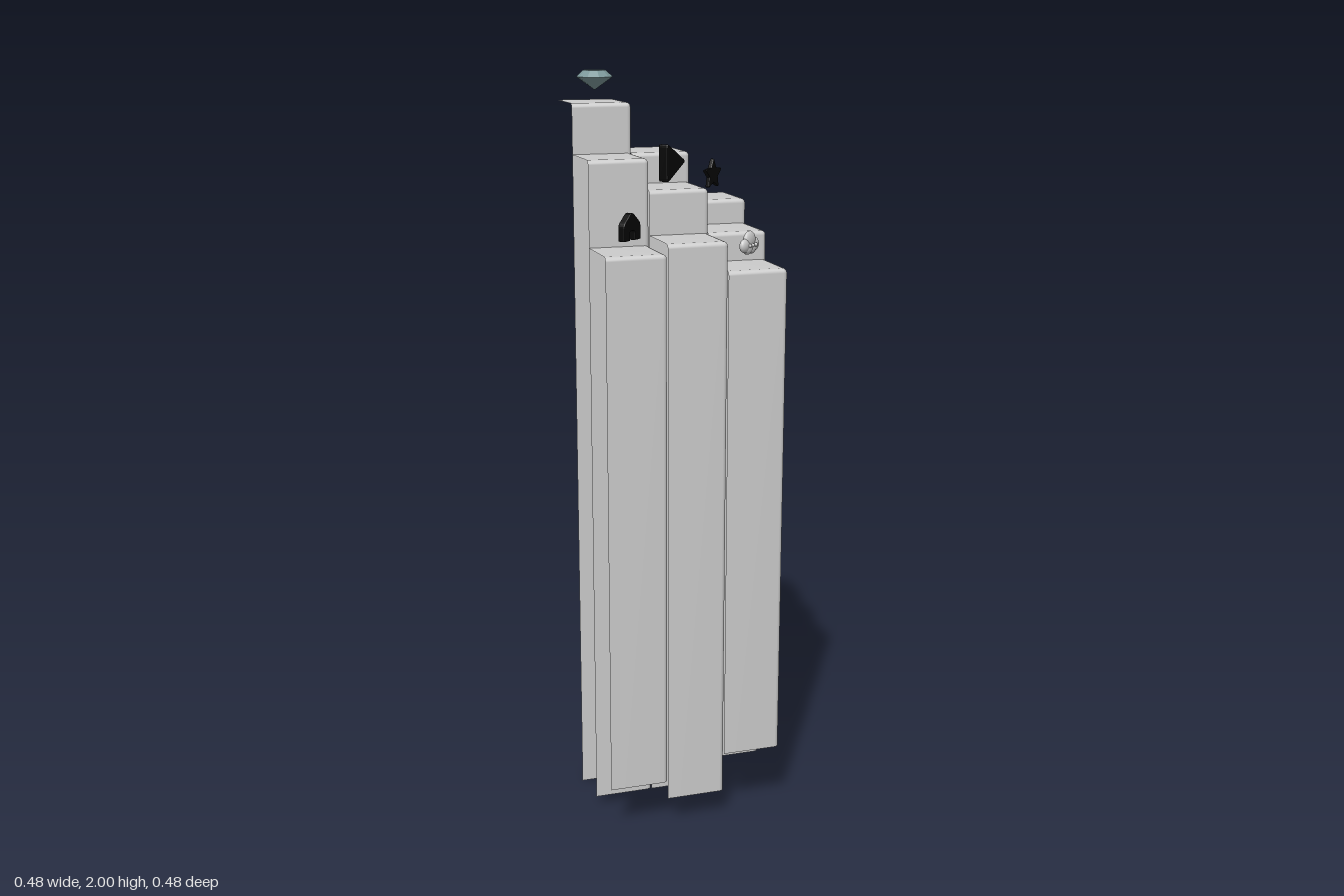
import * as THREE from 'three';

const grey = new THREE.MeshStandardMaterial({ color: 0xcccccc });
const shell = new THREE.MeshStandardMaterial({ color: 0xcccccc, side: THREE.DoubleSide });
const black = new THREE.MeshStandardMaterial({ color: 0x060606 });
const teal = new THREE.MeshStandardMaterial({ color: 0x7d999b, flatShading: true });

const PITCH = 0.16, HALF = 0.08, ROUND = 0.012, SEG = 4;
const TURN = THREE.MathUtils.degToRad(40);

function add(parent, name, geometry, material, x = 0, y = 0, z = 0) {
  const mesh = new THREE.Mesh(geometry, material);
  mesh.name = name;
  mesh.position.set(x, y, z);
  parent.add(mesh);
  return mesh;
}

// Open shell: front wall, side wall and top, joined by rounded edges
function columnGeometry(bottom, top) {
  const rows = [[0, bottom]];
  for (let j = 0; j <= SEG; j++) {
    const a = (j / SEG) * Math.PI / 2;
    rows.push([ROUND * (1 - Math.cos(a)), top - ROUND + ROUND * Math.sin(a)]);
  }
  const positions = [], index = [], count = SEG + 3, c = HALF - ROUND;
  for (const [inset, y] of rows) {
    const r = ROUND - inset;
    positions.push(-HALF, y, HALF - inset);
    for (let i = 0; i <= SEG; i++) {
      const a = (i / SEG) * Math.PI / 2;
      positions.push(c + r * Math.sin(a), y, c + r * Math.cos(a));
    }
    positions.push(HALF - inset, y, -HALF);
  }
  positions.push(-HALF, top, -HALF);
  const apex = rows.length * count;
  for (let j = 0; j < rows.length; j++) {
    for (let i = 0; i < count - 1; i++) {
      const a = j * count + i, b = a + 1;
      if (j === rows.length - 1) index.push(a, b, apex);
      else index.push(a, b, b + count, a, b + count, a + count);
    }
  }
  const g = new THREE.BufferGeometry();
  g.setAttribute('position', new THREE.Float32BufferAttribute(positions, 3));
  g.setIndex(index);
  g.computeVertexNormals();
  return g;
}

// Outline with softened corners; each point is [x, y, softness 0..0.5]
function softShape(points) {
  const shape = new THREE.Shape(), n = points.length;
  points.forEach(([x, y, s], i) => {
    const p = points[(i + n - 1) % n], q = points[(i + 1) % n];
    const ax = x + (p[0] - x) * s, ay = y + (p[1] - y) * s;
    if (i === 0) shape.moveTo(ax, ay);
    else shape.lineTo(ax, ay);
    if (s > 0) shape.quadraticCurveTo(x, y, x + (q[0] - x) * s, y + (q[1] - y) * s);
  });
  shape.closePath();
  return shape;
}

function plate(points, thickness, bevel) {
  const g = new THREE.ExtrudeGeometry(softShape(points), {
    depth: thickness - 2 * bevel, bevelThickness: bevel, bevelSize: bevel,
    bevelOffset: -bevel, bevelSegments: 2, curveSegments: 4,
  });
  g.translate(0, 0, bevel - thickness / 2);
  return g;
}

export function createModel() {
  const model = new THREE.Group();
  model.name = 'columnCluster';

  // Columns: rows run back to front, each entry is [bottom, top]
  const columns = [
    [[0, 1.92], [0.03, 1.79], [0.18, 1.66]],
    [[0.03, 1.79], [0.03, 1.71], [0.1, 1.595]],
    [[0.13, 1.57], [0.08, 1.595], [0.19, 1.52]],
  ];
  columns.forEach((row, k) => row.forEach(([bottom, top], i) =>
    add(model, `column${k * 3 + i + 1}`, columnGeometry(bottom, top), shell,
      (i - 1) * PITCH, 0, (k - 1) * PITCH)));

  // Cut gem above the tallest column
  const gemProfile = [[0, 1.949], [0.048, 1.983], [0.03, 2], [0, 2]];
  add(model, 'gem', new THREE.LatheGeometry(
    gemProfile.map(([x, y]) => new THREE.Vector2(x, y)), 10), teal, -0.159, 0, -0.155);

  // Triangle on the centre column
  const triangle = plate(
    [[-0.042, -0.052, 0.12], [0.048, 0, 0.12], [-0.042, 0.052, 0.12]], 0.03, 0.005);
  add(model, 'triangle', triangle, black, 0.004, 1.772, 0.003).rotation.y = TURN;

  // Five-pointed star
  const starPoints = [];
  for (let i = 0; i < 10; i++) {
    const a = Math.PI / 2 + i * Math.PI / 5, r = i % 2 ? 0.022 : 0.044;
    starPoints.push([r * Math.cos(a), r * Math.sin(a), i % 2 ? 0 : 0.2]);
  }
  add(model, 'star', plate(starPoints, 0.013, 0.003), black, 0.165, 1.721, -0.146).rotation.y = TURN;

  // House with a door notch
  const house = plate([
    [-0.036, 0, 0.08], [-0.01, 0, 0], [-0.01, 0.024, 0.2], [0.01, 0.024, 0.2], [0.01, 0, 0],
    [0.036, 0, 0.08], [0.036, 0.042, 0.2], [0, 0.072, 0.25], [-0.036, 0.042, 0.2],
  ], 0.02, 0.003);
  add(model, 'house', house, black, -0.158, 1.599, 0.168).rotation.y = TURN;

  // Cloud of flattened puffs with three dots on its face
  const cloud = new THREE.Group();
  cloud.name = 'cloud';
  cloud.position.set(0.159, 1.578, 0.17);
  cloud.rotation.y = TURN;
  model.add(cloud);
  const puffs = [
    [0, 0.008, 0.026, 0.024], [-0.023, -0.004, 0.019, 0.018], [0.023, -0.004, 0.019, 0.018],
    [-0.009, -0.012, 0.018, 0.016], [0.01, -0.012, 0.018, 0.016],
  ];
  puffs.forEach(([x, y, rx, ry], i) => {
    const puff = add(cloud, `cloudPuff${i + 1}`, new THREE.SphereGeometry(1, 20, 14), grey, x, y, 0);
    puff.scale.set(rx, ry, 0.011);
  });
  for (let i = -1; i <= 1; i++) {
    add(cloud, `cloudDot${i + 2}`, new THREE.SphereGeometry(0.005, 12, 8), grey, i * 0.015, -0.004, 0.011);
  }
  return model;
}
